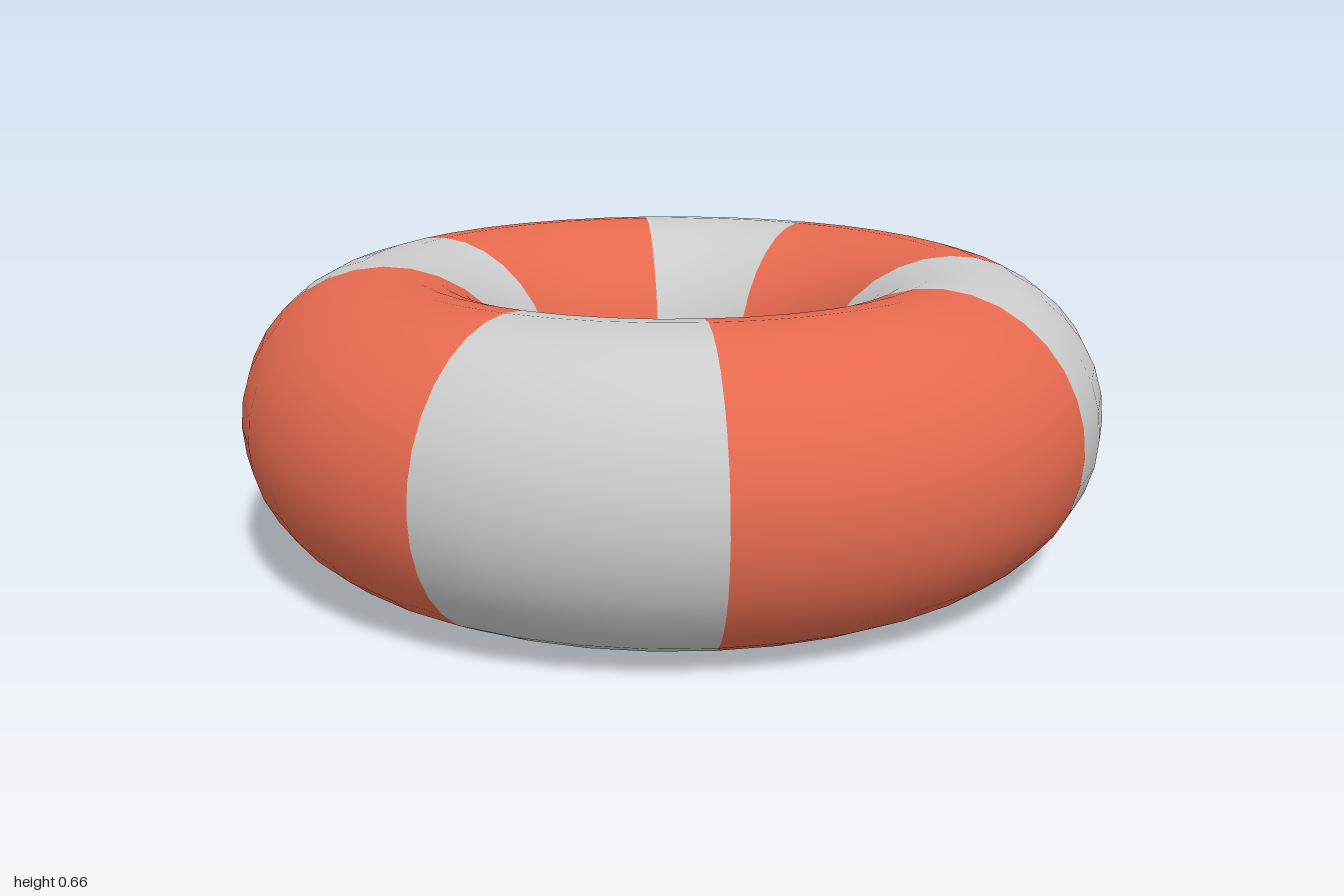
import * as THREE from 'three';

const RING = 0.67, TUBE = 0.33;   // ring centre-line radius and tube radius
const STEP = Math.PI * 2 / 40;    // the ring has 40 segments

export function createModel() {
  const group = new THREE.Group();
  group.name = 'lifeRing';
  const red = new THREE.MeshStandardMaterial({ color: 0xe66a4e });
  const grey = new THREE.MeshStandardMaterial({ color: 0xcccccc });

  // One arc of the ring, starting at a given segment and spanning a few of them
  function addBand(name, start, count, material) {
    const geometry = new THREE.TorusGeometry(RING, TUBE, 32, count, count * STEP);
    geometry.rotateZ(start * STEP);
    geometry.rotateX(-Math.PI / 2);
    const band = new THREE.Mesh(geometry, material);
    band.name = name;
    band.position.y = TUBE;
    group.add(band);
  }

  // Wide red bands on the axes, narrower grey bands on the diagonals
  for (let i = 0; i < 4; i++) {
    addBand(`redBand${i + 1}`, i * 10 - 3, 6, red);
    addBand(`greyBand${i + 1}`, i * 10 + 3, 4, grey);
  }
  return group;
}
